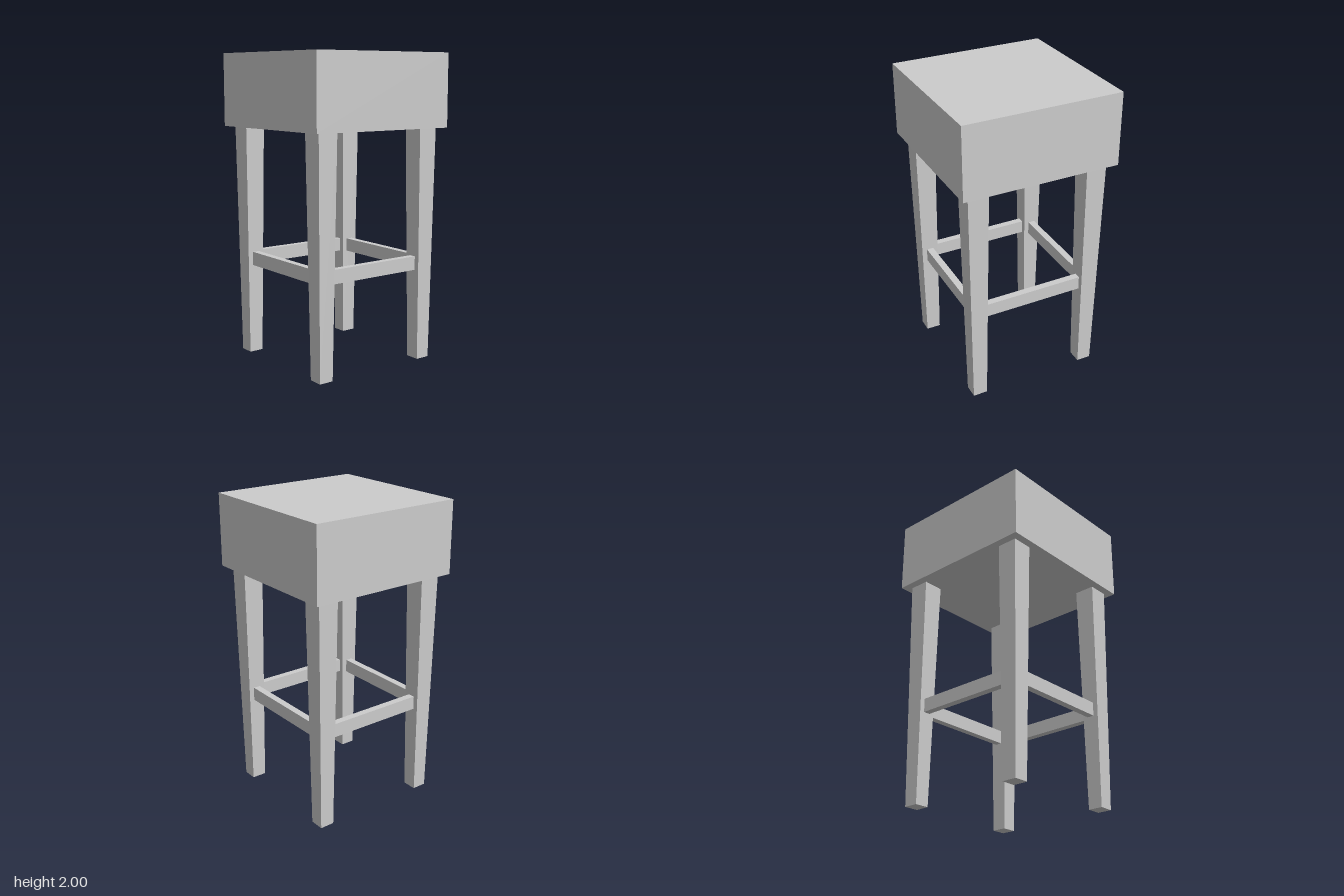
import * as THREE from 'three';

const material = new THREE.MeshStandardMaterial({ color: 0xcccccc, flatShading: true });

const SEAT_WIDTH = 1.034, SEAT_BOTTOM = 1.525, SEAT_TOP = 2;
const LEG_CENTRE = 0.398, LEG_TOP_WIDTH = 0.136, LEG_FOOT_WIDTH = 0.096;
const RAIL_BOTTOM = 0.6, RAIL_TOP = 0.69, RAIL_THICKNESS = 0.046, RAIL_LENGTH = 0.695;

function addPart(parent, name, geometry, x, y, z) {
  const mesh = new THREE.Mesh(geometry, material);
  mesh.name = name;
  mesh.position.set(x, y, z);
  parent.add(mesh);
  return mesh;
}

// Square post that narrows towards the foot
function taperedLeg() {
  const geometry = new THREE.BoxGeometry(1, SEAT_BOTTOM, 1);
  const p = geometry.attributes.position;
  for (let i = 0; i < p.count; i++) {
    const w = p.getY(i) > 0 ? LEG_TOP_WIDTH : LEG_FOOT_WIDTH;
    p.setX(i, p.getX(i) * w);
    p.setZ(i, p.getZ(i) * w);
  }
  geometry.computeVertexNormals();
  return geometry;
}

export function createModel() {
  const stool = new THREE.Group();
  stool.name = 'stool';

  // Thick square seat
  const seatHeight = SEAT_TOP - SEAT_BOTTOM;
  addPart(stool, 'seat', new THREE.BoxGeometry(SEAT_WIDTH, seatHeight, SEAT_WIDTH),
    0, SEAT_BOTTOM + seatHeight / 2, 0);

  // Four tapered legs
  const leg = taperedLeg();
  for (const [zName, z] of [['front', 1], ['back', -1]]) {
    for (const [xName, x] of [['Left', 1], ['Right', -1]]) {
      addPart(stool, `${zName}${xName}Leg`, leg, x * LEG_CENTRE, SEAT_BOTTOM / 2, z * LEG_CENTRE);
    }
  }

  // Rails joining neighbouring legs
  const rail = new THREE.BoxGeometry(RAIL_LENGTH, RAIL_TOP - RAIL_BOTTOM, RAIL_THICKNESS);
  ['front', 'left', 'back', 'right'].forEach((side, i) => {
    const angle = i * Math.PI / 2;
    const mesh = addPart(stool, `${side}Rail`, rail,
      Math.sin(angle) * LEG_CENTRE, (RAIL_BOTTOM + RAIL_TOP) / 2, Math.cos(angle) * LEG_CENTRE);
    mesh.rotation.y = angle;
  });

  return stool;
}
